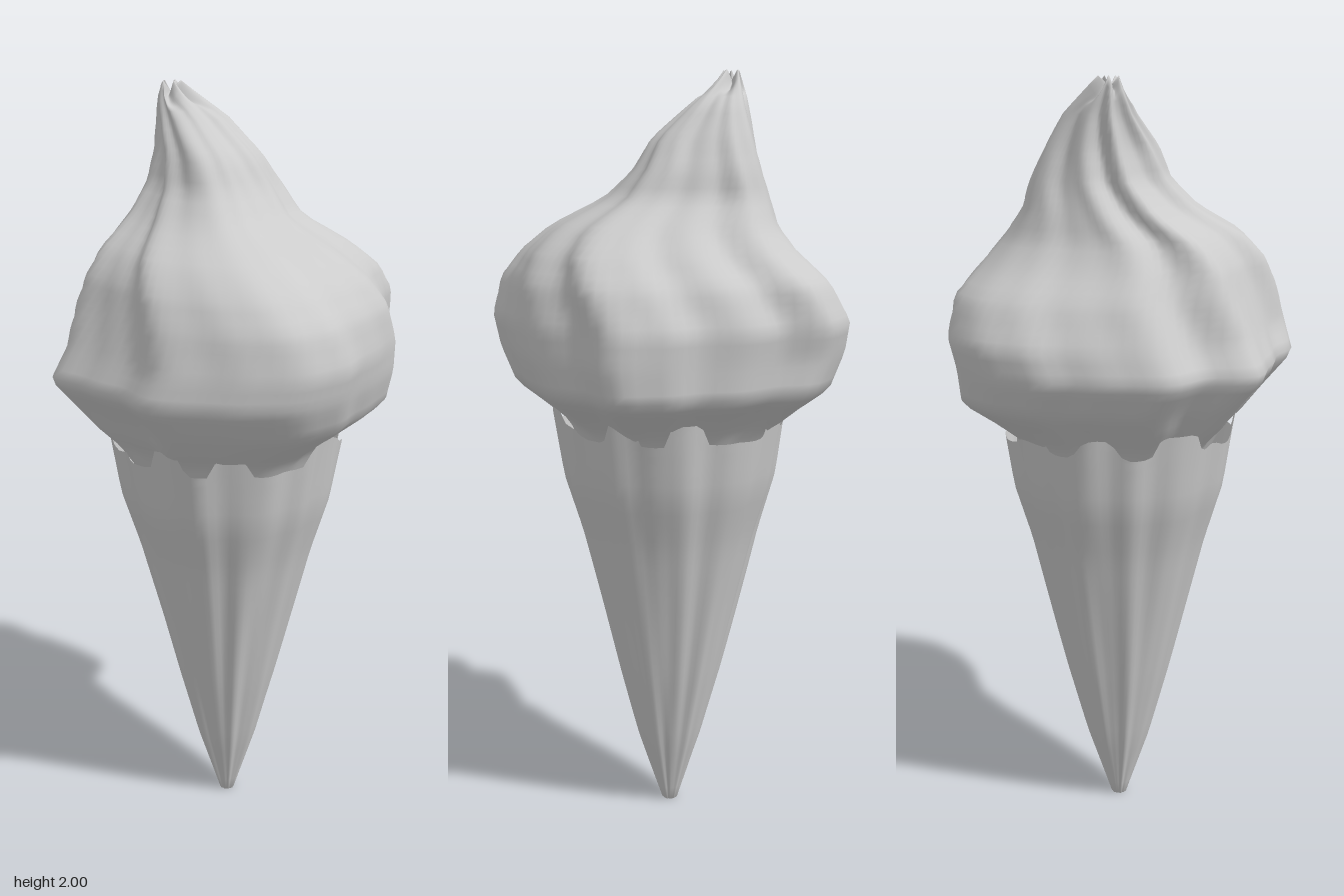
import * as THREE from 'three';

const SEG = 96;
const material = new THREE.MeshStandardMaterial({ color: 0xcccccc, side: THREE.DoubleSide });

// Skin a stack of closed rings; point(row, angle) gives [x, y, z]
function loft(rows, point, name) {
  const positions = [], index = [];
  for (let r = 0; r < rows; r++)
    for (let s = 0; s < SEG; s++) positions.push(...point(r, (s / SEG) * Math.PI * 2));
  for (let r = 0; r < rows - 1; r++)
    for (let s = 0; s < SEG; s++) {
      const a = r * SEG + s, b = r * SEG + (s + 1) % SEG;
      index.push(a, a + SEG, b, b, a + SEG, b + SEG);
    }
  const geometry = new THREE.BufferGeometry();
  geometry.setAttribute('position', new THREE.Float32BufferAttribute(positions, 3));
  geometry.setIndex(index);
  geometry.computeVertexNormals();
  const mesh = new THREE.Mesh(geometry, material);
  mesh.name = name;
  return mesh;
}

// Linear lookup in a table whose first column is the key
function sample(table, key, column) {
  let i = 0;
  while (i < table.length - 2 && key > table[i + 1][0]) i++;
  const [a, b] = [table[i], table[i + 1]];
  return THREE.MathUtils.lerp(a[column], b[column], (key - a[0]) / (b[0] - a[0]));
}

// Cream extents by height: y, x min, x max, z min, z max
const creamExtents = [
  [1.04, -0.25, 0.25, -0.25, 0.25],
  [1.10, -0.29, 0.29, -0.29, 0.28],
  [1.15, -0.34, 0.36, -0.35, 0.34],
  [1.21, -0.39, 0.45, -0.43, 0.41],
  [1.30, -0.465, 0.46, -0.46, 0.465],
  [1.38, -0.42, 0.455, -0.475, 0.478],
  [1.48, -0.385, 0.43, -0.43, 0.46],
  [1.55, -0.36, 0.38, -0.35, 0.41],
  [1.61, -0.32, 0.31, -0.30, 0.34],
  [1.68, -0.23, 0.20, -0.275, 0.20],
  [1.75, -0.175, 0.165, -0.255, 0.12],
  [1.83, -0.15, 0.115, -0.23, 0.07],
  [1.91, -0.14, 0.05, -0.20, -0.03],
  [1.97, -0.135, -0.03, -0.175, -0.09],
  [2.00, -0.125, -0.07, -0.16, -0.11],
];

// Lobed outline radii (hundredths) every 15 degrees, from +x towards +z
const lobes = [48, 43, 44.5, 43, 43, 46, 47.5, 46.5, 45.5, 46.5, 42.5, 44,
  48, 41.5, 45, 43, 43, 46, 48, 48, 41.5, 42.5, 41, 45];
function lobe(angle) {
  const t = THREE.MathUtils.euclideanModulo(angle / (Math.PI * 2), 1) * 24;
  const i = Math.floor(t), f = THREE.MathUtils.smoothstep(t - i, 0, 1);
  return THREE.MathUtils.lerp(lobes[i % 24], lobes[(i + 1) % 24], f) / 47.5;
}

function createCream() {
  const rows = 44;
  return loft(rows + 1, (r, a) => {
    if (r === rows) return [-0.1, 1.975, -0.135]; // closes the tip
    const y = 1.04 + 0.96 * (r / (rows - 1));
    const [x0, x1, z0, z1] = [1, 2, 3, 4].map((c) => sample(creamExtents, y, c));
    const rise = Math.max(0, y - 1.38);
    // folds turn as they rise and deepen towards the tip
    const folds = 1 + (lobe(a - rise * 1.1) - 1) * (1 + rise * 1.2);
    const ripple = 1 + 0.05 * THREE.MathUtils.smoothstep(y, 1.6, 1.95) * Math.sin(9 * (a - rise * 1.5));
    const k = folds * ripple;
    const ragged = 0.018 * THREE.MathUtils.smoothstep(y, 1.92, 2) * (Math.sin(5 * a) - 1);
    return [
      (x0 + x1) / 2 + ((x1 - x0) / 2) * Math.cos(a) * k,
      y + ragged,
      (z0 + z1) / 2 + ((z1 - z0) / 2) * Math.sin(a) * k,
    ];
  }, 'creamSwirl');
}

// Wafer radius by height
const coneProfile = [
  [0, 0.02], [0.2, 0.083], [0.4, 0.135], [0.6, 0.183],
  [0.8, 0.232], [0.95, 0.278], [1.15, 0.31],
];

function createCone() {
  const rows = 30;
  return loft(rows + 2, (r, a) => {
    if (r === 0) return [0, 0, 0]; // closed point
    const v = (r - 1) / rows;
    // torn rim: a few blocky teeth of uneven height
    const tooth = Math.sin(8 * a + 1.2 * Math.sin(3 * a)) + 0.5 * Math.sin(13 * a + 1);
    const rim = 1.115 + 0.028 * Math.tanh(3 * tooth);
    const y = v < 0.9 ? (v * 1.06) / 0.9 : THREE.MathUtils.lerp(1.06, rim, (v - 0.9) / 0.1);
    const pleats = 0.035 * Math.sin(12 * a + 0.8 * Math.sin(4 * y + 2 * a))
      + 0.022 * Math.sin(7 * a + 3 * y) + 0.015 * Math.sin(19 * a - 2 * y);
    const radius = sample(coneProfile, y, 1) * (1 + pleats * (1 - 0.45 * y));
    return [radius * Math.cos(a), y, radius * Math.sin(a)];
  }, 'waferCone');
}

export function createModel() {
  const model = new THREE.Group();
  model.name = 'iceCreamCone';
  model.add(createCone(), createCream());
  return model;
}
